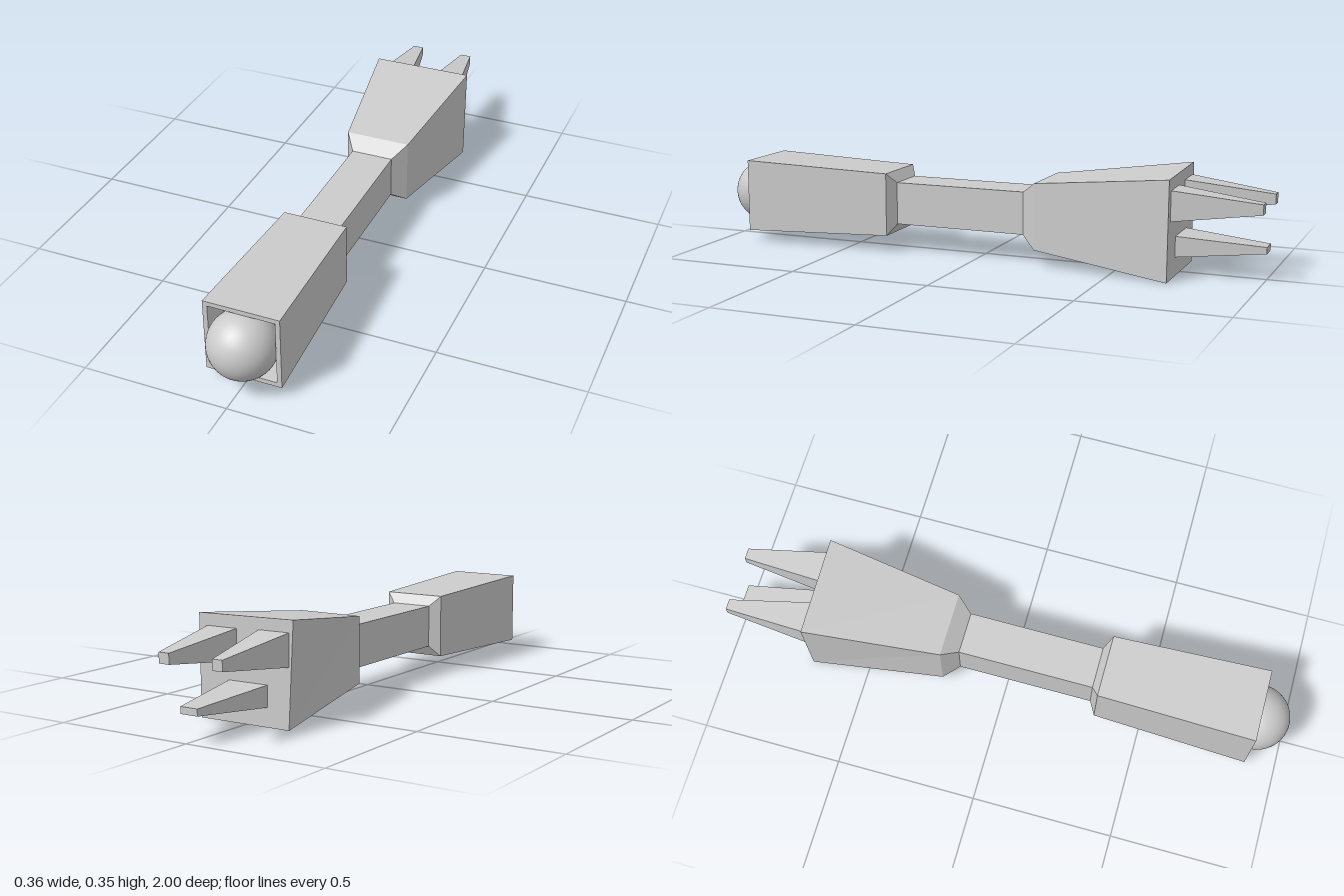
import * as THREE from 'three';

const material = new THREE.MeshStandardMaterial({ color: 0xcccccc, flatShading: true });
const smoothMaterial = new THREE.MeshStandardMaterial({ color: 0xcccccc });

// Four corners of a rectangle at depth z, counterclockwise seen from the front
const rect = (z, x0, x1, y0, y1) => [[x0, y0, z], [x1, y0, z], [x1, y1, z], [x0, y1, z]];

// Joins four-cornered sections running from front to back, with optional end caps
function loft(name, sections, capFront, capBack) {
  const positions = [];
  const quad = (a, b, c, d) => positions.push(...a, ...b, ...c, ...a, ...c, ...d);
  for (let s = 0; s < sections.length - 1; s++) {
    const front = sections[s], back = sections[s + 1];
    for (let i = 0; i < 4; i++) {
      const j = (i + 1) % 4;
      quad(front[i], back[i], back[j], front[j]);
    }
  }
  if (capFront) quad(...sections[0]);
  if (capBack) quad(...[...sections[sections.length - 1]].reverse());
  const geometry = new THREE.BufferGeometry();
  geometry.setAttribute('position', new THREE.Float32BufferAttribute(positions, 3));
  geometry.computeVertexNormals();
  const mesh = new THREE.Mesh(geometry, material);
  mesh.name = name;
  return mesh;
}

export function createModel() {
  const model = new THREE.Group();
  model.name = 'mechanicalArm';

  const shaftFront = rect(0.31, -0.07, 0.08, 0.1, 0.25);
  const shaftBack = rect(-0.17, -0.07, 0.08, 0.1, 0.25);

  // Upper arm: starts at the socket floor, comes out to the rim, then runs back
  model.add(loft('upperArm', [
    rect(0.79, -0.107, 0.121, 0.058, 0.286),
    rect(0.89, -0.107, 0.121, 0.058, 0.286),
    rect(0.89, -0.123, 0.137, 0.042, 0.302),
    rect(0.335, -0.106, 0.119, 0.062, 0.286),
    shaftFront,
  ], true, false));

  // Shoulder ball in the socket
  const ball = new THREE.Mesh(new THREE.SphereGeometry(0.114, 48, 32), smoothMaterial);
  ball.name = 'shoulderBall';
  ball.position.set(0.007, 0.172, 0.886);
  model.add(ball);

  // Thin elbow shaft
  model.add(loft('elbowShaft', [shaftFront, shaftBack], false, false));

  // Flaring forearm with a slightly skewed end
  model.add(loft('forearm', [
    shaftBack,
    rect(-0.225, -0.111, 0.121, 0.059, 0.29),
    [[-0.164, 0.002, -0.705], [0.178, 0.002, -0.708], [0.178, 0.344, -0.71], [-0.18, 0.349, -0.7]],
  ], false, true));

  // Tapering fingers: base x range, tip x range, base y range, tip y range
  const fingers = [
    ['rightFinger', -0.164, -0.05, -0.143, -0.106, 0.2, 0.308, 0.235, 0.27],
    ['leftFinger', 0.033, 0.149, 0.058, 0.097, 0.2, 0.305, 0.235, 0.27],
    ['thumb', -0.083, 0.068, -0.046, 0.018, 0.065, 0.137, 0.091, 0.114],
  ];
  for (const [name, bx0, bx1, tx0, tx1, by0, by1, ty0, ty1] of fingers) {
    model.add(loft(name, [
      rect(-0.7, bx0, bx1, by0, by1),
      rect(-1, tx0, tx1, ty0, ty1),
    ], true, true));
  }

  return model;
}
